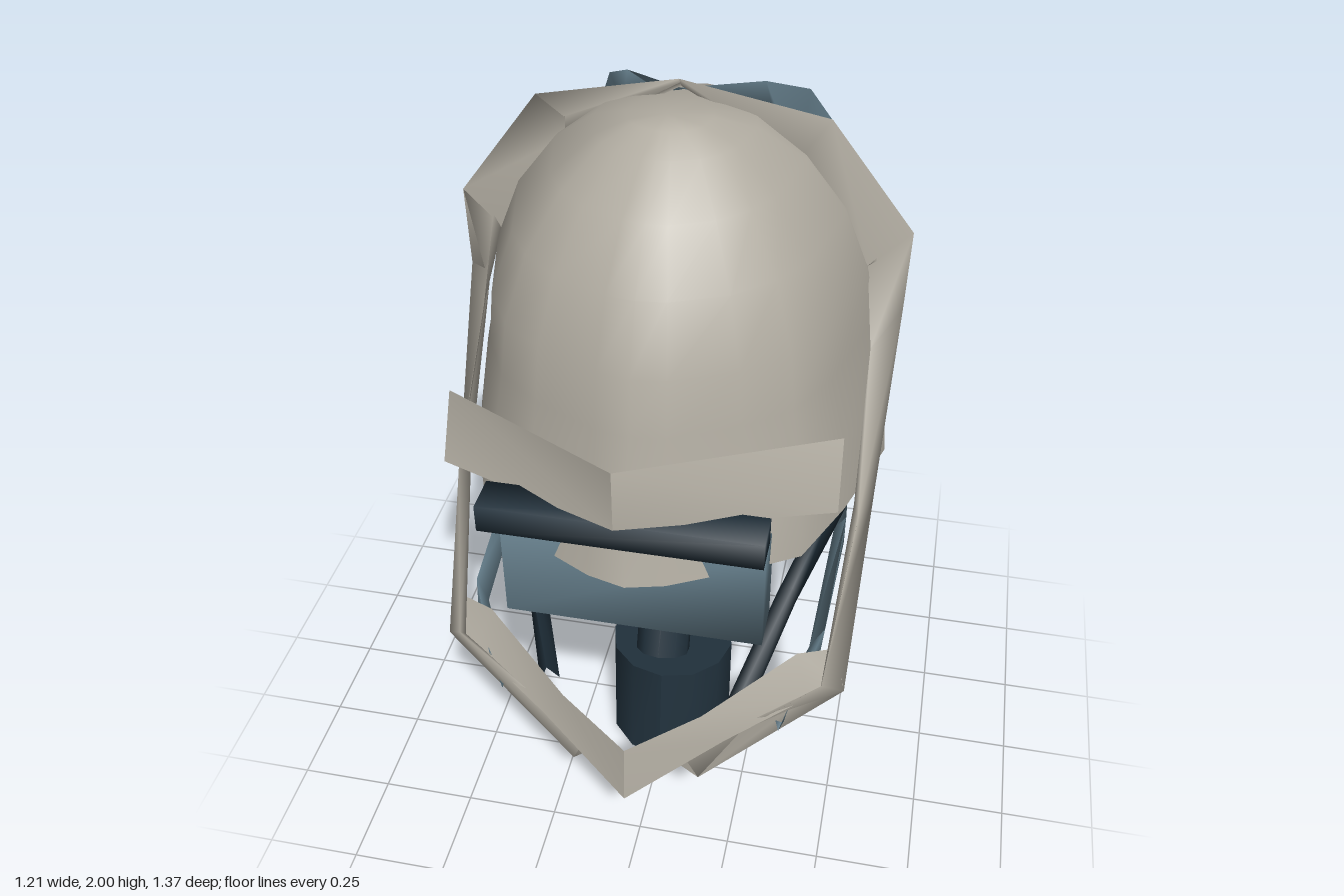
import * as THREE from 'three';
import { mergeVertices } from 'three/addons/utils/BufferGeometryUtils.js';

const mat = (name, color, side) => {
  const m = new THREE.MeshStandardMaterial({ color, side });
  m.name = name;
  return m;
};

// Smooth surface through rows of points; each row may close into a ring
function surface(rows, closed = false) {
  const n = rows[0].length, index = [];
  for (let r = 0; r < rows.length - 1; r++) {
    for (let i = 0; i < (closed ? n : n - 1); i++) {
      const a = r * n + i, b = r * n + (i + 1) % n;
      index.push(a, b, b + n, a, b + n, a + n);
    }
  }
  let g = new THREE.BufferGeometry();
  g.setAttribute('position', new THREE.Float32BufferAttribute(rows.flat(2), 3));
  g.setIndex(index);
  g = mergeVertices(g);
  g.computeVertexNormals();
  return g;
}

// Box with normals shared across its edges
function softBox(w, h, d) {
  let g = new THREE.BoxGeometry(w, h, d);
  g.deleteAttribute('normal');
  g.deleteAttribute('uv');
  g = mergeVertices(g);
  g.computeVertexNormals();
  return g;
}

export function createModel() {
  const group = new THREE.Group();
  const shell = mat('warm grey', 0xb2ada2, THREE.DoubleSide);
  const steel = mat('steel blue', 0x647d8a, THREE.DoubleSide);
  const dark = mat('dark navy', 0x20303b, THREE.FrontSide);

  const add = (name, geometry, material, x = 0, y = 0, z = 0) => {
    const m = new THREE.Mesh(geometry, material);
    m.name = name;
    m.position.set(x, y, z);
    group.add(m);
    return m;
  };
  // Strap between two edges on both sides; depth adds a third edge further in
  const straps = (name, edgeA, edgeB, material, depth = 0) => {
    const inner = edgeA.map(([x, y, z], i) => {
      const [u, v, w] = edgeB[i];
      return [Math.max(0, (x + u) / 2 - depth), (y + v) / 2, (z + w) / 2];
    });
    const edges = depth ? [edgeA, edgeB, inner, edgeA] : [edgeA, edgeB];
    for (const s of [1, -1]) {
      const rows = edges.map(e => e.map(([x, y, z]) => [x * s, y, z]));
      if (s < 0) rows.reverse();
      add((s > 0 ? 'left ' : 'right ') + name, surface(rows), material);
    }
  };

  // Dome: an outline that grows rounder upwards, scaled at each height
  const half = [[0, 1], [0.17, 0.96], [0.49, 0.81], [0.71, 0.69], [0.86, 0.37],
    [1, -0.05], [0.93, -0.37], [0.76, -0.67], [0.38, -0.92], [0, -1]];
  const outline = [...half, ...half.slice(1, -1).reverse().map(([x, u]) => [-x, u])];
  const levels = [ // height, front z, back z, half width
    [1.02, 0.6, -0.63, 0.55], [1.2, 0.56, -0.68, 0.53], [1.4, 0.52, -0.63, 0.485],
    [1.54, 0.495, -0.59, 0.465], [1.7, 0.43, -0.53, 0.4], [1.83, 0.33, -0.41, 0.3],
    [1.92, 0.21, -0.2, 0.19], [1.96, 0.15, -0.03, 0.1], [1.975, 0.09, 0.09, 0]];
  add('dome', surface(levels.map(([y, f, b, w]) => outline.map(([x, u]) => {
    const round = Math.sign(u) * Math.sqrt(1 - x * x);
    const v = THREE.MathUtils.lerp(u, round, Math.min(1, (y - 1.02) / 0.68));
    return [x * w, y, (f + b) / 2 + v * (f - b) / 2];
  })), true), shell);

  // Pointed brow visor and the dark bar beneath it
  straps('brow visor',
    [[0, 1.43, 0.685], [0.465, 1.365, 0.38]],
    [[0, 1.27, 0.685], [0.47, 1.205, 0.45]], shell);
  add('eye bar', softBox(0.66, 0.07, 0.095), dark, 0, 1.215, 0.6);

  // Face plate
  add('face plate', softBox(0.64, 0.28, 0.125), steel, 0, 0.96, 0.463);

  // Straps over the crown, past the ears, ending under the chin
  straps('side strap',
    [[0, 2, -0.04], [0.35, 1.92, -0.07], [0.56, 1.64, -0.09], [0.555, 1.43, -0.09],
      [0.54, 1.04, 0.16], [0.525, 0.6, 0.43], [0.17, 0.3, 0.535]],
    [[0, 1.97, -0.07], [0.28, 1.82, -0.06], [0.46, 1.55, -0.07], [0.49, 1.38, 0.03],
      [0.51, 1.04, 0.27], [0.47, 0.67, 0.49], [0.13, 0.4, 0.55]], shell, 0.03);
  straps('chin guard',
    [[0, 0.5, 0.65], [0.18, 0.57, 0.56], [0.4, 0.71, 0.43], [0.5, 0.72, 0.4]],
    [[0, 0.33, 0.665], [0.24, 0.48, 0.55], [0.44, 0.6, 0.47], [0.52, 0.62, 0.43]], shell);

  // Rear straps run down the back and turn forward under the ears
  straps('rear strap',
    [[0, 1.97, -0.06], [0.17, 1.92, -0.25], [0.26, 1.83, -0.43], [0.34, 1.64, -0.58],
      [0.36, 1.45, -0.645], [0.36, 1.27, -0.61], [0.41, 0.78, -0.46], [0.47, 0.72, 0],
      [0.45, 0.64, 0.4], [0.37, 0.48, 0.49]],
    [[0, 1.95, -0.1], [0.19, 1.82, -0.28], [0.24, 1.62, -0.42], [0.27, 1.5, -0.53],
      [0.32, 1.37, -0.6], [0.41, 1.24, -0.55], [0.445, 0.88, -0.39], [0.47, 0.81, 0],
      [0.46, 0.74, 0.36], [0.4, 0.6, 0.48]], steel, 0.03);

  // Dark jaw struts
  straps('jaw strut',
    [[0.44, 0.935, 0.095], [0.36, 0.75, 0.24], [0.26, 0.53, 0.44]],
    [[0.47, 0.875, 0.026], [0.37, 0.69, 0.225], [0.28, 0.47, 0.44]], dark, 0.045);

  // Flat ear discs standing clear of the straps
  for (const s of [1, -1]) {
    const disc = add(s > 0 ? 'left ear disc' : 'right ear disc',
      new THREE.CircleGeometry(0.113, 12), dark, s * 0.603, 1.04, 0.11);
    disc.rotation.y = s * Math.PI / 2;
  }

  // Slanted neck post reaching up inside the dome
  const low = new THREE.Vector3(0, 0.39, 0.175), high = new THREE.Vector3(0, 1.4, -0.25);
  const post = add('neck post',
    new THREE.CylinderGeometry(0.075, 0.075, low.distanceTo(high), 10), dark);
  post.position.copy(low).add(high).multiplyScalar(0.5);
  post.quaternion.setFromUnitVectors(new THREE.Vector3(0, 1, 0), high.sub(low).normalize());

  // Neck base with a sloping front
  const base = new THREE.CylinderGeometry(0.175, 0.175, 0.3, 12);
  const p = base.attributes.position;
  for (let i = 0; i < p.count; i++) {
    const top = p.getY(i) > 0;
    p.setZ(i, (top ? 0.035 : 0.055) + p.getZ(i) / 0.175 * (top ? 0.165 : 0.185));
  }
  base.computeVertexNormals();
  add('neck base', base, dark, 0, 0.15, 0);

  return group;
}
